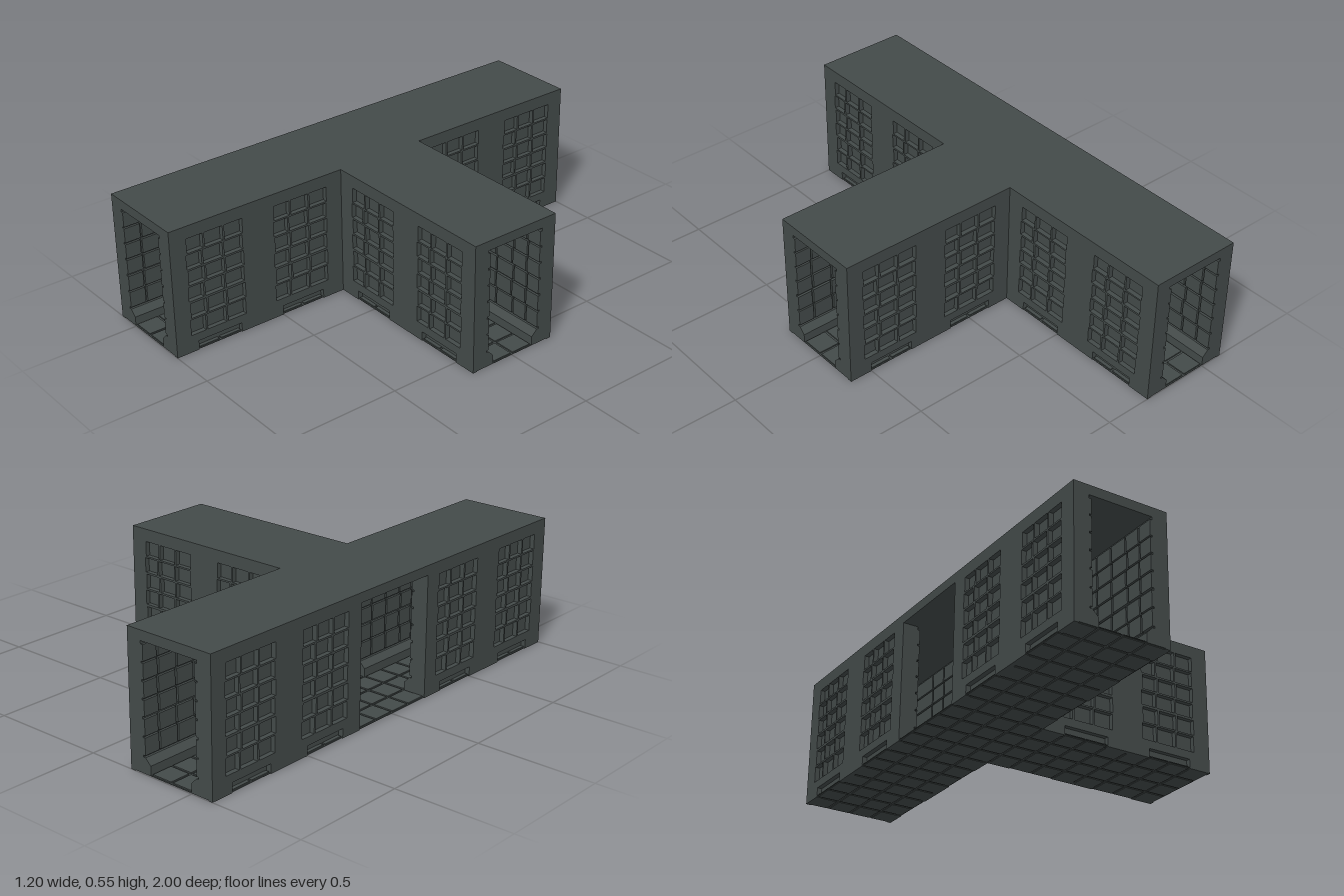
import * as THREE from 'three';
import { mergeGeometries } from 'three/addons/utils/BufferGeometryUtils.js';

const CELL = 0.4, HALF = 0.2, WALL_TOP = 0.51, TOP = 0.55;
const SKIN = 0.02, CORE = 0.065, BRICK = 0.075;

// Brick courses from the floor up: y range of each row
const ROWS = [[0.075, 0.143], [0.15, 0.215], [0.225, 0.287], [0.295, 0.357], [0.365, 0.427], [0.434, 0.497]];
// Joints along a panel; odd and even courses are staggered
const JOINTS = [[-0.13, -0.05, 0.04, 0.13], [-0.135, -0.06, 0.035, 0.127]];
const GAP = 0.004;

const box = (x0, x1, y0, y1, z0, z1) =>
  new THREE.BoxGeometry(x1 - x0, y1 - y0, z1 - z0)
    .translate((x0 + x1) / 2, (y0 + y1) / 2, (z0 + z1) / 2);

function poly(points) {
  return new THREE.Shape(points.map(([x, y]) => new THREE.Vector2(x, y)));
}

// Outer skin with brick-shaped recesses and a notch at the foot
function skinGeometry() {
  const shape = poly([[-HALF, 0], [-0.1, 0], [-0.1, 0.04], [0.1, 0.04], [0.1, 0],
    [HALF, 0], [HALF, WALL_TOP], [-HALF, WALL_TOP]]);
  ROWS.forEach(([y0, y1], r) => {
    const j = JOINTS[r % 2 ? 0 : 1];
    for (let i = 0; i < 3; i++) {
      const a = j[i] + GAP, b = j[i + 1] - GAP;
      shape.holes.push(poly([[a, y0], [a, y1], [b, y1], [b, y0]]));
    }
  });
  return new THREE.ExtrudeGeometry(shape, { depth: SKIN, bevelEnabled: false }).translate(0, 0, -SKIN);
}

// Raised bricks on the corridor side
function brickGeometry() {
  const parts = [];
  ROWS.forEach(([y0, y1], r) => {
    const edges = [-HALF - GAP, ...JOINTS[r % 2 ? 0 : 1], HALF + GAP];
    for (let i = 0; i < edges.length - 1; i++) {
      parts.push(box(edges[i] + GAP, edges[i + 1] - GAP, y0, y1, -BRICK, -CORE));
    }
  });
  return mergeGeometries(parts);
}

// Sloped plinth along the foot of the wall
function plinthGeometry() {
  const s = poly([[SKIN, 0.004], [0.1, 0.004], [0.1, 0.042], [BRICK, 0.067], [SKIN, 0.067]]);
  return new THREE.ExtrudeGeometry(s, { depth: CELL, bevelEnabled: false })
    .rotateY(Math.PI / 2).translate(-HALF, 0, 0);
}

export function createModel() {
  const model = new THREE.Group();
  model.name = 'tJunctionCorridor';
  const stone = new THREE.MeshStandardMaterial({ color: 0x434a49 });
  stone.name = 'dark stone';

  const add = (parent, name, geometry) => {
    const mesh = new THREE.Mesh(geometry, stone);
    mesh.name = name;
    parent.add(mesh);
    return mesh;
  };

  // Wall panels: local +z faces out of the corridor
  const panelParts = {
    wallSkin: skinGeometry(),
    wallCore: box(-HALF, HALF, 0.004, WALL_TOP, -CORE, -SKIN),
    wallBricks: brickGeometry(),
    plinth: plinthGeometry(),
  };
  const addPanel = (x, z, turn) => {
    const panel = new THREE.Group();
    panel.name = 'wallPanel';
    for (const [name, geometry] of Object.entries(panelParts)) add(panel, name, geometry);
    panel.position.set(x, 0, z);
    panel.rotation.y = turn;
    model.add(panel);
  };
  for (const z of [-0.8, -0.4, 0.4, 0.8]) {
    addPanel(-0.6, z, -Math.PI / 2);
    addPanel(-0.2, z, Math.PI / 2);
  }
  for (const x of [0, 0.4]) {
    addPanel(x, HALF, 0);
    addPanel(x, -HALF, Math.PI);
  }

  // Flat ceiling slabs
  add(model, 'mainCeiling', box(-0.6, -0.2, WALL_TOP, TOP, -1, 1));
  add(model, 'branchCeiling', box(-0.2, 0.6, WALL_TOP, TOP, -HALF, HALF));

  // Thin floor bed with a grid of paving tiles
  add(model, 'mainFloorBed', box(-0.6, -0.2, 0.003, 0.005, -1, 1));
  add(model, 'branchFloorBed', box(-0.2, 0.6, 0.003, 0.005, -HALF, HALF));
  const tiles = [];
  const pave = (x0, x1, z0, z1) => {
    for (let x = x0 + 0.05; x < x1; x += 0.1) {
      for (let z = z0 + 0.05; z < z1; z += 0.1) {
        tiles.push(box(x - 0.045, x + 0.045, 0, 0.01, z - 0.045, z + 0.045));
      }
    }
  };
  pave(-0.6, -0.2, -1, 1);
  pave(-0.2, 0.6, -HALF, HALF);
  add(model, 'floorTiles', mergeGeometries(tiles));

  return model;
}
